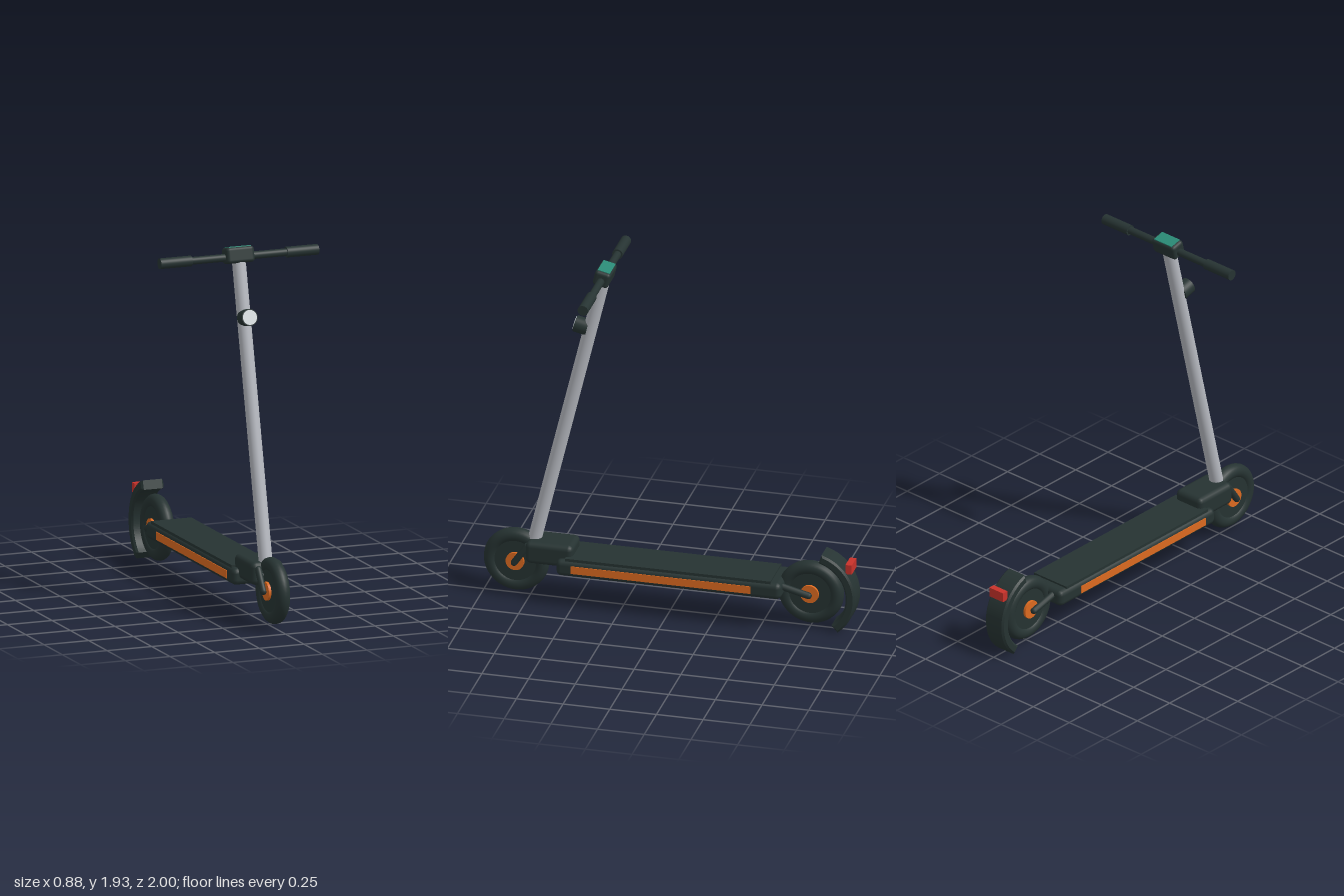
import * as THREE from 'three';
import { RoundedBoxGeometry } from 'three/addons/geometries/RoundedBoxGeometry.js';

const material = (name, color) => {
  const m = new THREE.MeshStandardMaterial({ color });
  m.name = name;
  return m;
};

export function createModel() {
  const model = new THREE.Group();
  model.name = 'kickScooter';
  const dark = material('darkBody', 0x263332);
  const silver = material('silverTube', 0xb5b8bf);
  const orange = material('orangeAccent', 0xdc6a20);
  const green = material('greenScreen', 0x2a8a76);
  const red = material('redLight', 0xc8322a);
  const lens = material('paleLens', 0xdde3e6);

  const add = (parent, name, geometry, mat, x = 0, y = 0, z = 0) => {
    const mesh = new THREE.Mesh(geometry, mat);
    mesh.name = name;
    mesh.position.set(x, y, z);
    parent.add(mesh);
    return mesh;
  };
  const rounded = (w, h, d, r) => new RoundedBoxGeometry(w, h, d, 2, r);
  // Cylinder lying along x
  const axleCylinder = (r, length) =>
    new THREE.CylinderGeometry(r, r, length, 32).rotateZ(Math.PI / 2);
  // Round-ended rod between two points
  const rod = (name, a, b, r) => {
    const dir = b.clone().sub(a);
    const mesh = add(model, name, new THREE.CapsuleGeometry(r, dir.length(), 4, 12), dark);
    mesh.position.copy(a).add(b).multiplyScalar(0.5);
    mesh.quaternion.setFromUnitVectors(new THREE.Vector3(0, 1, 0), dir.normalize());
  };

  // Wheels: tyre, rim disc and orange hub
  const axleY = 0.187, frontZ = 0.825, rearZ = -0.752;
  for (const [name, z] of [['frontWheel', frontZ], ['rearWheel', rearZ]]) {
    const wheel = new THREE.Group();
    wheel.name = name;
    wheel.position.set(0, axleY, z);
    add(wheel, 'tyre', new THREE.TorusGeometry(0.137, 0.038, 16, 48).rotateY(Math.PI / 2), dark);
    add(wheel, 'rim', axleCylinder(0.125, 0.056), dark);
    add(wheel, 'hub', axleCylinder(0.049, 0.084), orange);
    model.add(wheel);
  }

  // Deck with grip plate and side stripes
  add(model, 'deck', rounded(0.25, 0.09, 1.205, 0.028), dark, 0, 0.215, -0.017);
  add(model, 'gripPlate', new THREE.BoxGeometry(0.225, 0.02, 1.1), dark, 0, 0.26, -0.012);
  for (const side of [-1, 1]) {
    add(model, 'sideStripe', new THREE.BoxGeometry(0.008, 0.042, 0.965), orange, side * 0.124, 0.215, 0.022);
  }

  // Neck block joining the deck to the stem
  add(model, 'neckBlock', rounded(0.18, 0.122, 0.255, 0.028), dark, 0, 0.264, 0.632);

  // Fork arms and rear wheel arms
  for (const side of [-1, 1]) {
    const at = (x, y, z) => new THREE.Vector3(side * x, y, z);
    rod('forkArm', at(0.053, 0.29, 0.755), at(0.053, axleY, frontZ), 0.018);
    rod('rearArm', at(0.064, 0.235, -0.58), at(0.058, axleY, rearZ), 0.018);
  }

  // Steering column, leaning back
  const column = new THREE.Group();
  column.name = 'steeringColumn';
  column.position.set(0, 0.33, 0.724);
  column.rotation.x = -0.236;
  model.add(column);
  add(column, 'stem', new THREE.CylinderGeometry(0.036, 0.036, 1.65, 32), silver, 0, 0.745, 0);
  add(column, 'displayHousing', rounded(0.156, 0.085, 0.085, 0.018), dark, 0, 1.585, 0);
  add(column, 'displayScreen', new THREE.BoxGeometry(0.122, 0.006, 0.066), green, 0, 1.627, 0);
  add(column, 'handlebar', axleCylinder(0.02, 0.84), dark, 0, 1.576, 0);
  for (const side of [-1, 1]) {
    add(column, 'handGrip', axleCylinder(0.028, 0.176), dark, side * 0.354, 1.576, 0);
  }

  // Headlight
  const disc = (r, depth) => new THREE.CylinderGeometry(r, r, depth, 32).rotateX(Math.PI / 2);
  add(column, 'headlight', disc(0.044, 0.07), dark, 0, 1.257, 0.048);
  add(column, 'headlightLens', disc(0.039, 0.006), lens, 0, 1.257, 0.083);

  // Rear fender: bevelled arc around the rear wheel
  const start = -0.86, end = 1.25, bevel = 0.01;
  const arc = new THREE.Shape();
  arc.absarc(0, 0, 0.248 - bevel, start, end, false);
  arc.absarc(0, 0, 0.198 + bevel, end, start, true);
  arc.closePath();
  const fender = add(model, 'rearFender', new THREE.ExtrudeGeometry(arc, {
    depth: 0.106, bevelEnabled: true, bevelSize: bevel, bevelThickness: bevel,
    bevelSegments: 1, curveSegments: 24,
  }).translate(0, 0, -0.053), dark, 0, axleY, rearZ);
  fender.rotation.y = Math.PI / 2;

  // Tail light
  add(model, 'tailLight', new THREE.BoxGeometry(0.095, 0.052, 0.034), red, 0, 0.356, -0.964);

  return model;
}
